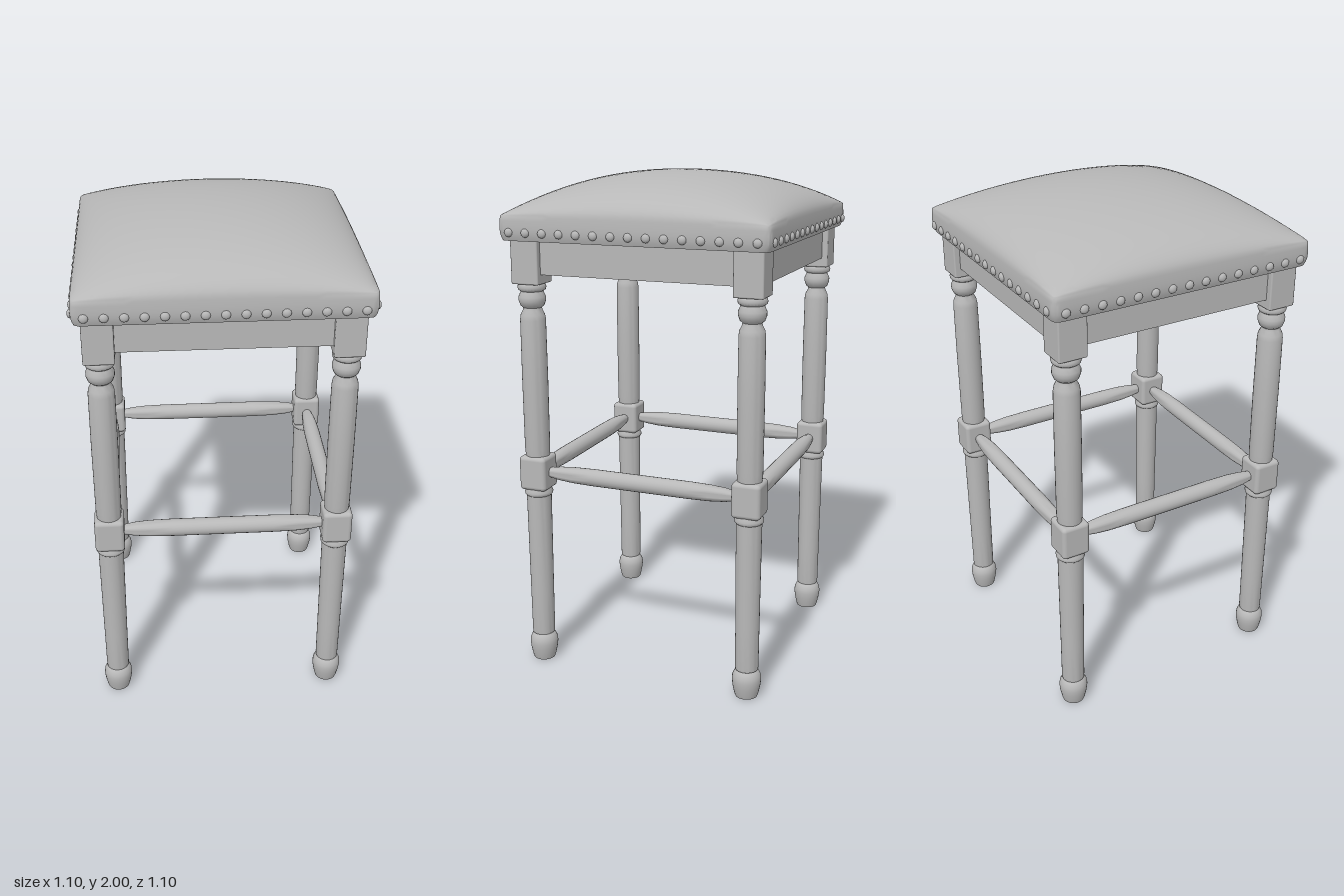
import * as THREE from 'three';
import { mergeVertices, toCreasedNormals } from 'three/addons/utils/BufferGeometryUtils.js';
import { RoundedBoxGeometry } from 'three/addons/geometries/RoundedBoxGeometry.js';

const grey = new THREE.MeshStandardMaterial({ color: 0xb8b8b8 });
grey.name = 'plain grey';

const HALF = 0.54;  // half width of the seat
const LEG = 0.448;  // leg centre offset

function add(parent, name, geometry, x = 0, y = 0, z = 0) {
  const mesh = new THREE.Mesh(geometry, grey);
  mesh.name = name;
  mesh.position.set(x, y, z);
  parent.add(mesh);
  return mesh;
}

// Turned part from [radius, height] pairs
function turned(profile, sides = 28) {
  const points = profile.map(([r, y]) => new THREE.Vector2(r, y));
  return toCreasedNormals(new THREE.LatheGeometry(points, sides), 0.7);
}

// Domed cushion: a subdivided box bent so that the top swells to the middle
function cushionGeometry() {
  const geometry = new THREE.BoxGeometry(2, 2, 2, 40, 6, 40);
  const p = geometry.attributes.position;
  for (let i = 0; i < p.count; i++) {
    const a = p.getX(i) * Math.PI / 2, b = p.getZ(i) * Math.PI / 2;
    const t = (p.getY(i) + 1) / 2;
    const u = Math.sin(a), v = Math.sin(b);
    const corner = 1 - 0.014 * Math.pow(Math.abs(u * v), 40);
    const tuck = 1 - 0.02 * Math.pow(1 - t, 4) - 0.008 * t * t;
    const dome = t > 0.999 ? 0.16 * Math.cos(a) * Math.cos(b) : 0;
    p.setXYZ(i, HALF * u * corner * tuck, 1.75 + 0.09 * t + dome, HALF * v * corner * tuck);
  }
  geometry.deleteAttribute('normal');
  geometry.deleteAttribute('uv');
  return toCreasedNormals(mergeVertices(geometry, 1e-5), 0.9);
}

export function createModel() {
  const model = new THREE.Group();
  model.name = 'barStool';

  add(model, 'seatCushion', cushionGeometry());

  const nail = new THREE.SphereGeometry(0.017, 12, 6, 0, Math.PI * 2, 0, Math.PI / 2);
  nail.rotateX(Math.PI / 2);
  nail.scale(1, 1, 0.7);

  const apron = new THREE.BoxGeometry(0.8, 0.135, 0.07);

  // Stretcher: a rod with tapered ends
  const stretcher = turned([
    [0.017, -0.41], [0.02, -0.39], [0.027, -0.35], [0.032, -0.29], [0.034, -0.2],
    [0.034, 0.2], [0.032, 0.29], [0.027, 0.35], [0.02, 0.39], [0.017, 0.41],
  ], 20);
  stretcher.rotateZ(Math.PI / 2);

  // Apron, stretcher and nail row on each of the four sides
  for (let s = 0; s < 4; s++) {
    const side = new THREE.Group();
    side.name = 'side' + (s + 1);
    side.rotation.y = s * Math.PI / 2;
    add(side, 'apron', apron, 0, 1.6875, 0.446);
    add(side, 'stretcher', stretcher, 0, 0.82, LEG);
    for (let i = 0; i < 15; i++) {
      add(side, 'nailHead', nail, -0.49 + i * 0.07, 1.782, HALF - 0.003);
    }
    model.add(side);
  }

  // Leg sections
  const topBlock = new RoundedBoxGeometry(0.115, 0.172, 0.115, 2, 0.006);
  const midBlock = new RoundedBoxGeometry(0.115, 0.14, 0.115, 3, 0.016);
  const upperTurning = turned([
    [0.046, 0.87], [0.05, 0.92], [0.051, 1.2], [0.05, 1.44], [0.047, 1.46], [0.038, 1.478],
    [0.036, 1.488], [0.046, 1.496], [0.053, 1.515], [0.053, 1.53], [0.046, 1.546],
    [0.044, 1.552], [0.053, 1.558], [0.056, 1.568], [0.053, 1.578], [0.045, 1.59],
  ]);
  const lowerTurning = turned([
    [0.045, 0.115], [0.046, 0.125], [0.047, 0.3], [0.05, 0.715], [0.05, 0.722],
    [0.056, 0.728], [0.057, 0.737], [0.053, 0.746], [0.05, 0.76],
  ]);
  const foot = turned([
    [0, 0], [0.044, 0], [0.048, 0.012], [0.055, 0.045], [0.058, 0.07],
    [0.056, 0.088], [0.048, 0.105], [0.04, 0.112], [0.04, 0.13],
  ]);

  for (const x of [-1, 1]) {
    for (const z of [-1, 1]) {
      const leg = new THREE.Group();
      leg.name = (z > 0 ? 'front' : 'back') + (x > 0 ? 'Left' : 'Right') + 'Leg';
      leg.position.set(x * LEG, 0, z * LEG);
      add(leg, 'topBlock', topBlock, 0, 1.668, 0);
      add(leg, 'upperTurning', upperTurning);
      add(leg, 'middleBlock', midBlock, 0, 0.82, 0);
      add(leg, 'lowerTurning', lowerTurning);
      add(leg, 'foot', foot);
      model.add(leg);
    }
  }
  return model;
}
